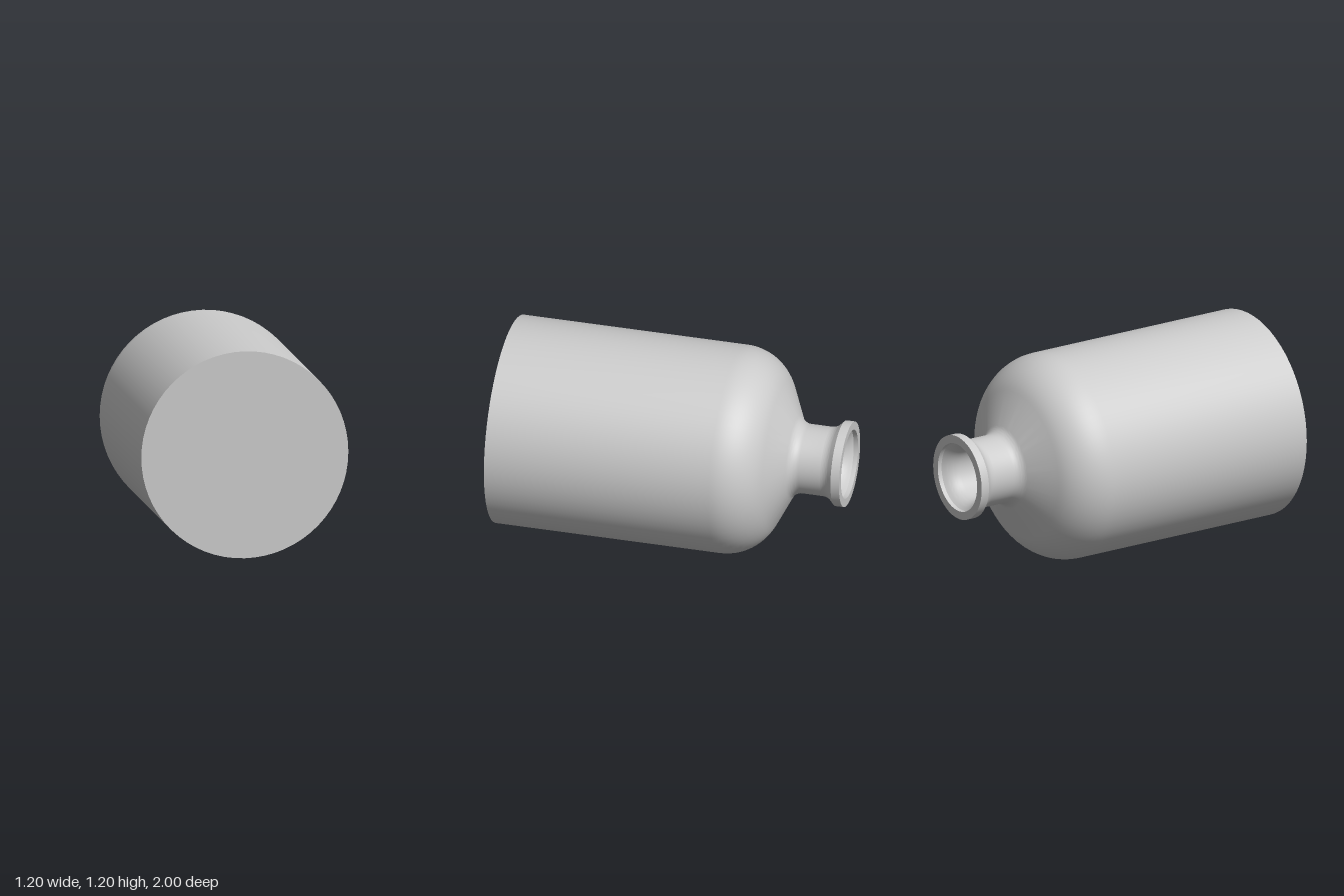
import * as THREE from 'three';
import { toCreasedNormals } from 'three/addons/utils/BufferGeometryUtils.js';

const SEGMENTS = 64;
const material = new THREE.MeshStandardMaterial({ color: 0xcccccc });
const rad = THREE.MathUtils.degToRad;

// Points (radius, height) along an arc, angles in degrees
function arc(cr, cy, r, from, to, steps = 12) {
  return Array.from({ length: steps + 1 }, (_, i) => {
    const a = rad(from + ((to - from) * i) / steps);
    return [cr + r * Math.cos(a), cy + r * Math.sin(a)];
  });
}

function lathe(name, points) {
  const profile = points.map(([r, y]) => new THREE.Vector2(r, y));
  const geometry = toCreasedNormals(new THREE.LatheGeometry(profile, SEGMENTS), rad(30));
  const mesh = new THREE.Mesh(geometry, material);
  mesh.name = name;
  return mesh;
}

// Shoulder, neck and flare share arc centres; wall = inset from the outer skin
function wallProfile(wall) {
  return [
    ...arc(0.3, 0.32, 0.3 - wall, 0, 65, 14),
    ...arc(0.275, 0.75, 0.075 + wall, 245, 180),
    ...arc(0.28, 0.87, 0.08 + wall, 180, 135),
  ];
}

export function createModel() {
  const bottle = new THREE.Group();
  bottle.name = 'bottle';

  // Flat base and outer skin up to the underside of the lip
  bottle.add(lathe('base', [[0, -1], [0.6, -1]]));
  bottle.add(lathe('outerBody', [[0.6, -1], ...wallProfile(0), [0.247, 0.95]]));

  // Lip band with its flat rim and short bore
  bottle.add(lathe('lip', [[0.247, 0.95], [0.247, 1], [0.2, 1], [0.2, 0.974]]));

  // Hollow inside, from the mouth down to the inner floor
  bottle.add(lathe('innerWall', [
    [0.2, 0.974], ...wallProfile(0.05).reverse(), [0.55, -0.95], [0, -0.95],
  ]));

  // Lay the bottle down with its mouth to the back
  bottle.rotation.x = -Math.PI / 2;
  bottle.position.y = 0.6;

  const model = new THREE.Group();
  model.add(bottle);
  return model;
}
